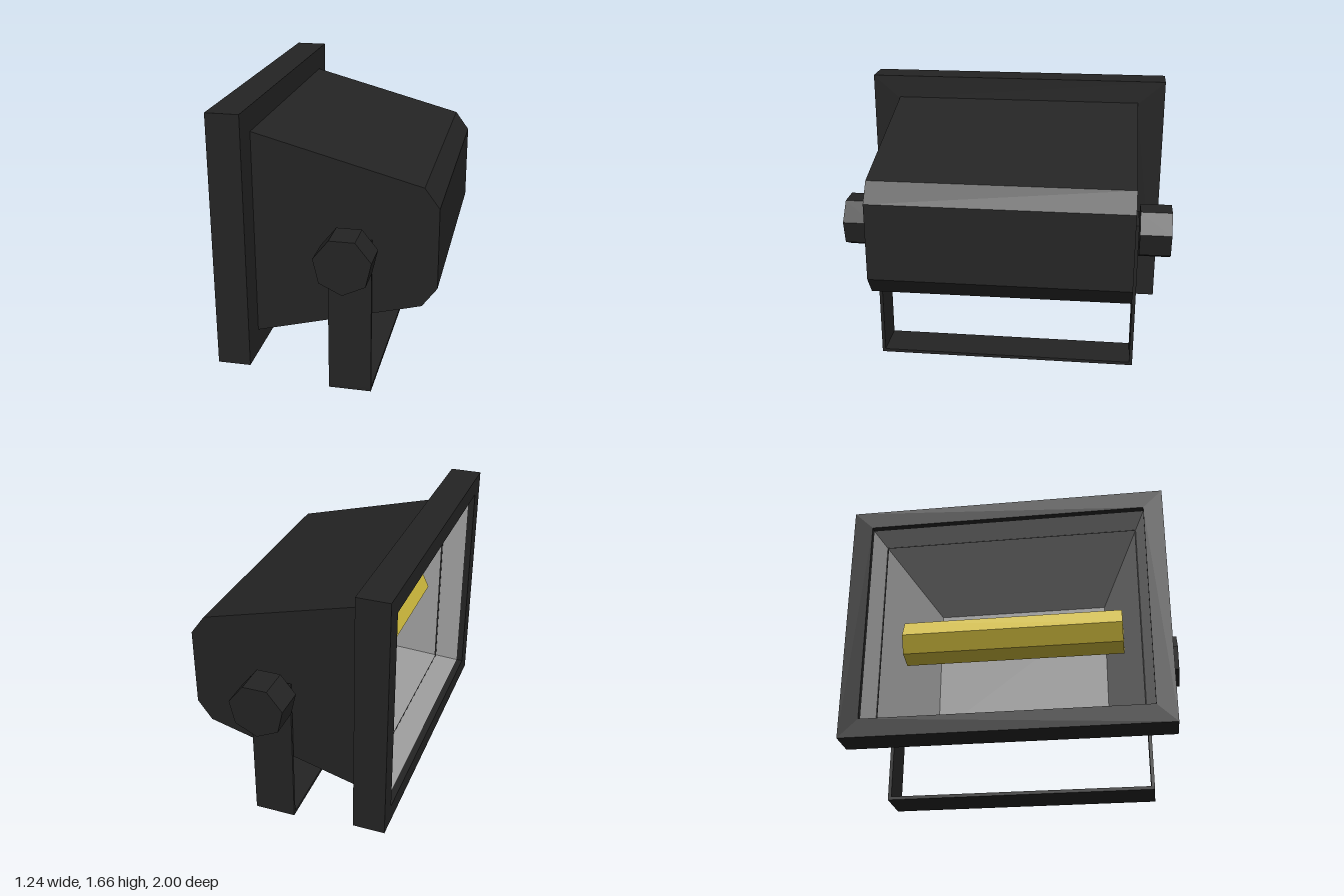
import * as THREE from 'three';

const black = new THREE.MeshStandardMaterial({ color: 0x242424 });
const reflectorGrey = new THREE.MeshStandardMaterial({ color: 0x9c9c9c });
const lampYellow = new THREE.MeshStandardMaterial({ color: 0xd0bb3d });
black.name = 'black';
reflectorGrey.name = 'reflectorGrey';
lampYellow.name = 'lampYellow';

const MID_Y = 0.92;

// Flat-shaded surface from quads whose corners run counter-clockwise
function quadGeometry(quads) {
  const pos = [];
  for (const [a, b, c, d] of quads) pos.push(...a, ...b, ...c, ...a, ...c, ...d);
  const g = new THREE.BufferGeometry();
  g.setAttribute('position', new THREE.Float32BufferAttribute(pos, 3));
  g.computeVertexNormals();
  return g;
}

// Rectangular ring facing along x
function ringGeometry(x0, x1, halfZ, halfY, holeZ, holeY) {
  const rect = (Type, w, h) => new Type([[-w, -h], [w, -h], [w, h], [-w, h]].map(p => new THREE.Vector2(...p)));
  const shape = rect(THREE.Shape, halfZ, halfY);
  shape.holes.push(rect(THREE.Path, holeZ, holeY));
  const g = new THREE.ExtrudeGeometry(shape, { depth: x1 - x0, bevelEnabled: false });
  return g.rotateY(Math.PI / 2).translate(x0, MID_Y, 0);
}

export function createModel() {
  const model = new THREE.Group();
  model.name = 'floodlight';
  const add = (name, geometry, material, parent = model) => {
    const mesh = new THREE.Mesh(geometry, material);
    mesh.name = name;
    parent.add(mesh);
    return mesh;
  };

  // Front frame, with a narrower ring closing it against the housing
  add('frontFrame', ringGeometry(-0.62, -0.44, 0.945, 0.745, 0.83, 0.635), black);
  add('frameBack', ringGeometry(-0.44, -0.43, 0.945, 0.745, 0.775, 0.595), black);

  // Tapered housing, open towards the frame
  const housing = new THREE.Group();
  housing.name = 'housing';
  model.add(housing);
  const profile = [[-0.43, 0.315], [0.53, 0.57], [0.615, 0.685], [0.615, 1.155], [0.53, 1.27], [-0.43, 1.525]];
  const hz = 0.775;
  const shell = [];
  for (let i = 0; i < profile.length - 1; i++) {
    const p = profile[i], q = profile[i + 1];
    shell.push([[...p, hz], [...p, -hz], [...q, -hz], [...q, hz]]);
  }
  add('housingShell', quadGeometry(shell), black, housing);
  for (const side of [1, -1]) {
    const outline = new THREE.Shape(profile.map(([x, y]) => new THREE.Vector2(x * side, y)));
    const cap = new THREE.ShapeGeometry(outline);
    if (side < 0) cap.rotateY(Math.PI);
    add('housingSide', cap.translate(0, 0, side * hz), black, housing);
  }

  // Reflector: four walls narrowing to a flat back
  const corners = (x, z, y) => [[-1, -1], [1, -1], [1, 1], [-1, 1]].map(([a, b]) => [x, MID_Y + b * y, a * z]);
  const front = corners(-0.58, 0.83, 0.635), back = corners(0.2, 0.55, 0.42);
  const walls = front.map((f, i) => [f, front[(i + 1) % 4], back[(i + 1) % 4], back[i]]);
  add('reflector', quadGeometry([...walls, back]), reflectorGrey);

  // Seven-sided lamp tube across the reflector
  const heptagon = (radius, length, spin = 0) =>
    new THREE.CylinderGeometry(radius, radius, length, 7).toNonIndexed().rotateY(spin).rotateX(Math.PI / 2);
  const lampGeometry = heptagon(0.135, 1.34, -Math.PI / 2);
  lampGeometry.computeVertexNormals();
  add('lamp', lampGeometry, lampYellow).position.set(-0.25, MID_Y, 0);

  // U-shaped mounting bracket
  const bracket = new THREE.Group();
  bracket.name = 'bracket';
  model.add(bracket);
  add('bracketBase', new THREE.BoxGeometry(0.25, 0.02, 1.61), black, bracket).position.set(0.125, 0.01, 0);

  // Bracket arms and clamping knobs, mirrored
  const knobGeometry = heptagon(0.166, 0.19);
  knobGeometry.computeVertexNormals();
  for (const side of [1, -1]) {
    add('bracketArm', new THREE.BoxGeometry(0.25, 0.93, 0.02), black, bracket).position.set(0.125, 0.485, side * 0.795);
    add('knob', knobGeometry, black).position.set(0.125, 0.868, side * 0.905);
  }
  return model;
}
